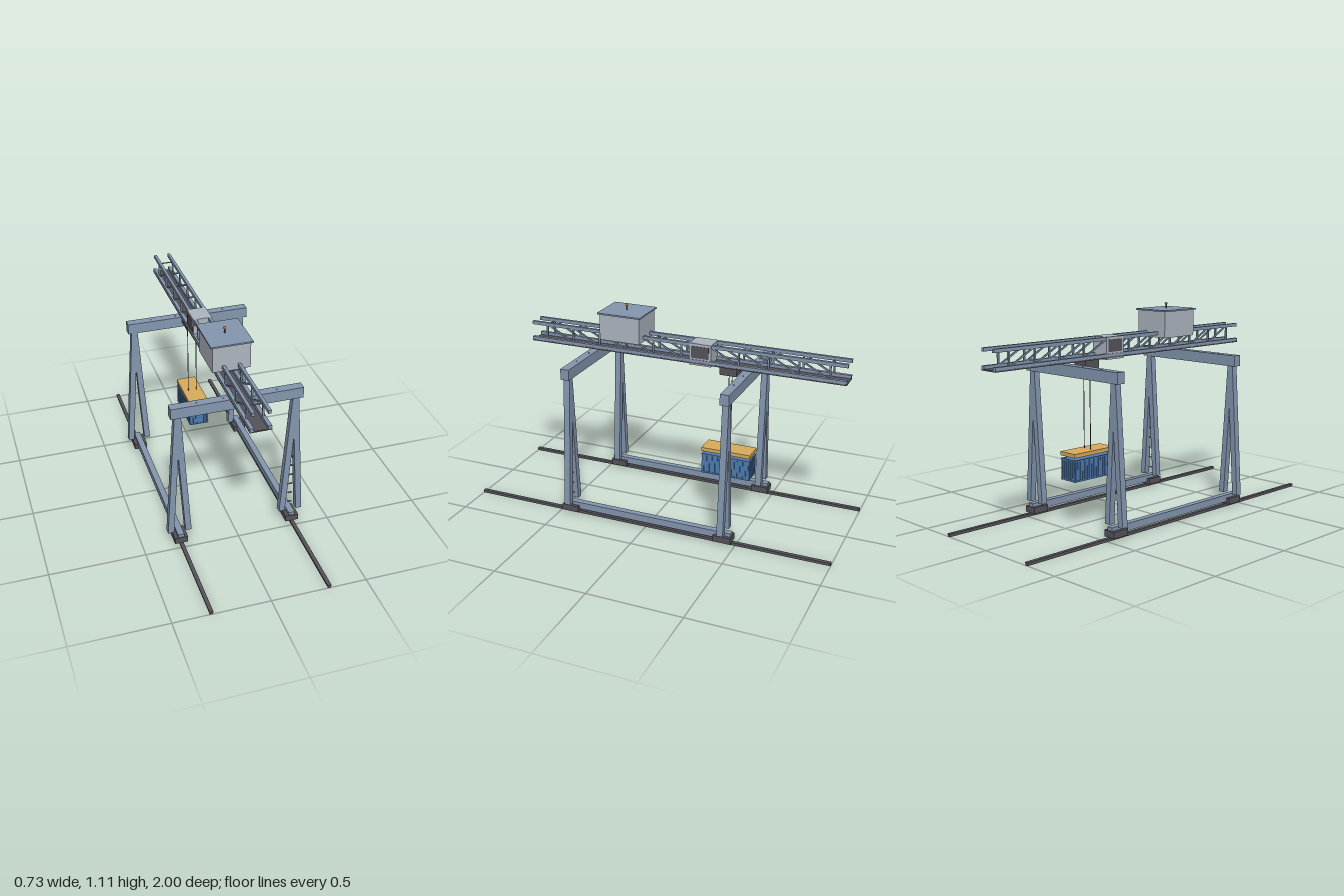
import * as THREE from 'three';

const paint = (color) => new THREE.MeshStandardMaterial({ color });
const steel = paint(0x8497b0);
const dark = paint(0x56545a);
const pale = paint(0xaeb6c0);
const blue = paint(0x4f7db3);
const yellow = paint(0xd9ac5c);
const amber = paint(0xb07820);

function add(parent, name, geometry, material, x = 0, y = 0, z = 0) {
  const mesh = new THREE.Mesh(geometry, material);
  mesh.name = name;
  mesh.position.set(x, y, z);
  parent.add(mesh);
  return mesh;
}

// Box given by its extents on each axis
function box(parent, name, material, [x0, x1], [y0, y1], [z0, z1]) {
  return add(parent, name, new THREE.BoxGeometry(x1 - x0, y1 - y0, z1 - z0), material,
    (x0 + x1) / 2, (y0 + y1) / 2, (z0 + z1) / 2);
}

// Square bar between two points
function bar(parent, name, material, a, b, size) {
  const from = new THREE.Vector3(...a), to = new THREE.Vector3(...b);
  const mesh = add(parent, name, new THREE.BoxGeometry(size, size, from.distanceTo(to)), material);
  mesh.position.copy(from).lerp(to, 0.5);
  mesh.lookAt(to);
  return mesh;
}

const around = (c, half) => [c - half, c + half];

function group(parent, name) {
  const g = new THREE.Group();
  g.name = name;
  parent.add(g);
  return g;
}

const trackX = 0.304, frameZ = 0.435;

// Leaning leg with level ends
function leg(parent, x, z, side) {
  const y0 = 0.068, y1 = 0.785;
  const geometry = new THREE.BoxGeometry(0.032, y1 - y0, 0.034);
  const p = geometry.attributes.position;
  for (let i = 0; i < p.count; i++) if (p.getY(i) < 0) p.setX(i, p.getX(i) + side * 0.047);
  geometry.computeVertexNormals();
  add(parent, 'leg', geometry, steel, x, (y0 + y1) / 2, z);
}

function buildPortal(root) {
  const portal = group(root, 'portalFrame');
  for (const sx of [-1, 1]) {
    const x = sx * trackX;
    box(portal, 'railBase', dark, around(x, 0.008), [0, 0.01], [-1, 1]);
    box(portal, 'railHead', dark, around(x, 0.01), [0.008, 0.016], [-1, 1]);
    box(portal, 'sillBeam', steel, around(x, 0.0165), [0.03, 0.068], [-0.478, 0.478]);
    for (const sz of [-1, 1]) {
      const z = sz * frameZ;
      box(portal, 'bogie', dark, around(x, 0.035), [0.016, 0.05], around(z, 0.047));
      leg(portal, x, z, -1);
      leg(portal, x, z, 1);
    }
  }
  // Cross girders with studs along their edges
  for (const z of [-frameZ, frameZ]) {
    box(portal, 'crossGirder', steel, [-0.34, 0.34], [0.774, 0.832], around(z, 0.0235));
    for (let k = -4; k <= 4; k++) {
      add(portal, 'girderStud', new THREE.CylinderGeometry(0.004, 0.004, 0.006, 6), steel,
        k * 0.0685, k % 2 ? 0.832 : 0.774, z);
    }
  }
  // Ladder rungs between the legs
  for (let i = 0; i < 7; i++) {
    box(portal, 'ladderRung', steel, around(trackX, 0.011), around(0.11 + i * 0.0593, 0.0025), around(frameZ, 0.004));
  }
}

function buildBoom(root) {
  const boom = group(root, 'trussBoom');
  const ends = [-0.958, 0.782], topY = 0.953, lowY = 0.868, step = 0.1565;
  box(boom, 'deck', dark, [-0.054, 0.054], [0.854, 0.861], ends);
  for (const s of [-1, 1]) {
    const x = s * 0.04;
    box(boom, 'topChord', steel, around(x, 0.008), [0.944, 0.962], ends);
    box(boom, 'bottomChord', steel, around(s * 0.044, 0.0095), [0.859, 0.877], ends);
    for (let i = 0; i <= 10; i++) {
      const z = 0.695 - i * step;
      bar(boom, 'post', steel, [x, lowY, z], [x, topY, z], 0.009);
      if (i < 10) bar(boom, 'diagonal', steel, [x, topY, z], [x, lowY, z - step], 0.008);
    }
  }
  // Cross ties at every second post
  for (let i = 0; i <= 10; i += 2) {
    const z = 0.695 - i * step;
    bar(boom, 'crossTie', steel, [-0.04, 0.947, z], [0.04, 0.947, z], 0.005);
  }
}

function buildHouses(root) {
  const house = group(root, 'machineHouse');
  box(house, 'houseWalls', pale, [-0.098, 0.098], [0.93, 1.07], around(0.237, 0.113));
  box(house, 'houseRoof', steel, [-0.108, 0.108], [1.069, 1.077], around(0.237, 0.122));
  add(house, 'beaconPole', new THREE.CylinderGeometry(0.004, 0.004, 0.026, 8), dark, 0, 1.089, 0.237);
  add(house, 'beacon', new THREE.SphereGeometry(0.0075, 12, 8), amber, 0, 1.104, 0.237);

  const cabin = group(root, 'operatorCabin');
  box(cabin, 'cabinBody', pale, [-0.051, 0.051], [0.846, 0.962], around(-0.194, 0.06));
  box(cabin, 'cabinWindows', dark, [-0.053, 0.053], [0.885, 0.948], around(-0.194, 0.048));
}

function buildHoist(root) {
  const hoist = group(root, 'hoist');
  const z = -0.345;
  box(hoist, 'trolley', dark, [-0.041, 0.041], [0.81, 0.856], around(z, 0.046));
  for (const x of [-0.0235, 0.0235]) {
    add(hoist, 'rope', new THREE.CylinderGeometry(0.0022, 0.0022, 0.43, 8), dark, x, 0.6, z);
  }
  box(hoist, 'spreader', yellow, [-0.054, 0.054], [0.371, 0.391], around(z, 0.135));

  // Ribbed container with edge frames
  const load = group(hoist, 'container');
  const halfX = 0.05, halfZ = 0.13;
  box(load, 'containerBody', blue, [-halfX, halfX], [0.247, 0.355], around(z, halfZ));
  for (const y of [0.249, 0.353]) {
    for (const s of [-1, 1]) {
      box(load, 'sideRail', blue, around(s * halfX, 0.0035), around(y, 0.004), around(z, 0.133));
      box(load, 'endRail', blue, [-0.0535, 0.0535], around(y, 0.004), around(z + s * halfZ, 0.0035));
    }
  }
  for (const s of [-1, 1]) {
    for (let i = -8; i <= 8; i++) {
      box(load, 'sideRib', blue, around(s * halfX, 0.003), [0.249, 0.353], around(z + i * 0.0155, 0.0038));
    }
    for (let i = -3; i <= 3; i++) {
      box(load, 'endRib', blue, around(i * 0.0155, 0.0038), [0.249, 0.353], around(z + s * halfZ, 0.003));
    }
  }
}

export function createModel() {
  const root = new THREE.Group();
  root.name = 'gantryCrane';
  buildPortal(root);
  buildBoom(root);
  buildHouses(root);
  buildHoist(root);
  return root;
}
